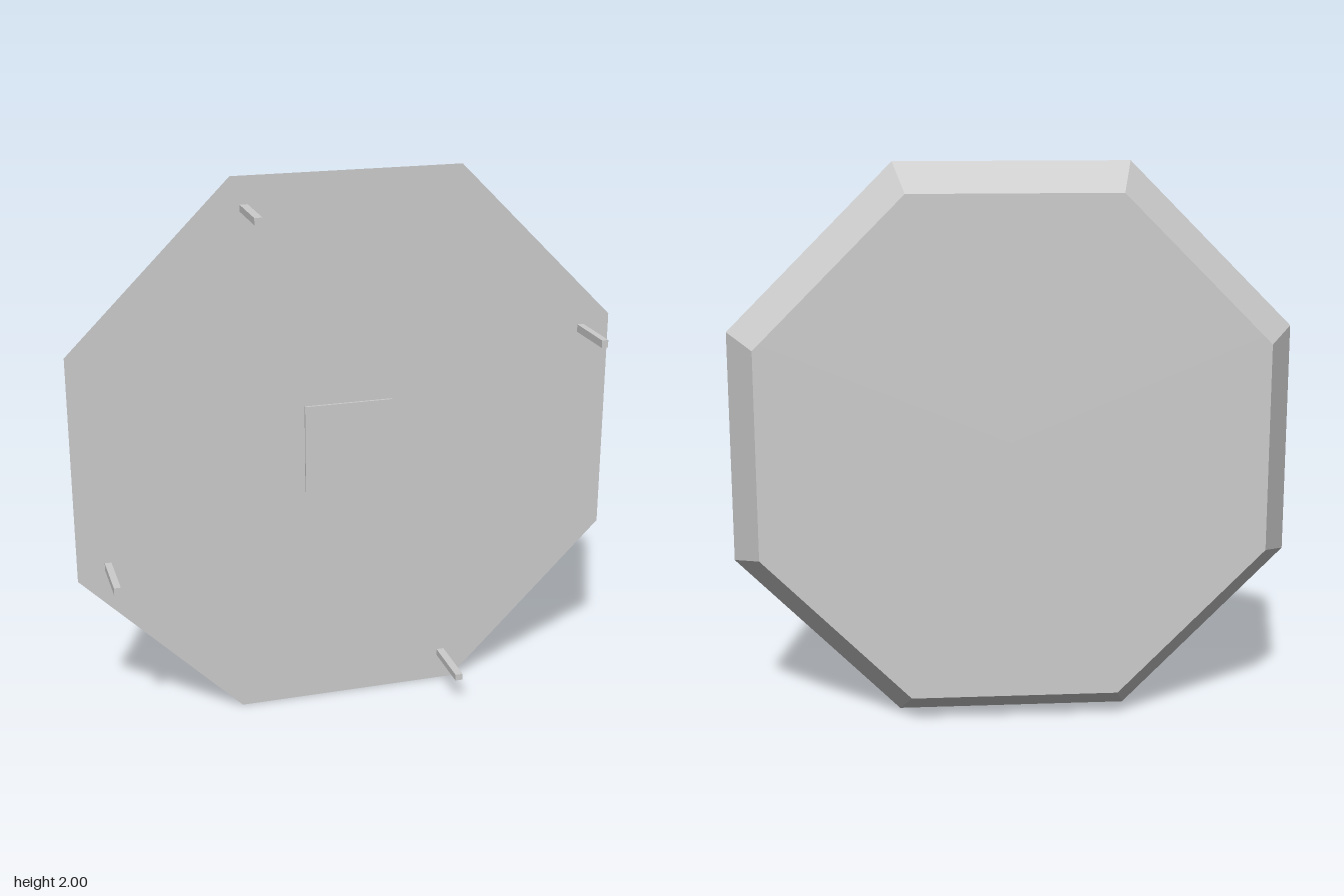
import * as THREE from 'three';

export function createModel() {
  const group = new THREE.Group();
  const grey = new THREE.MeshStandardMaterial({ color: 0xcccccc, flatShading: true, side: THREE.DoubleSide });
  grey.name = 'light grey';

  const FRONT = -0.027, BACK = -0.19, PIN_END = 0.19, CENTRE_Y = 1;

  const add = (name, geometry, x, y, z) => {
    const mesh = new THREE.Mesh(geometry, grey);
    mesh.name = name;
    mesh.position.set(x, y, z);
    group.add(mesh);
    return mesh;
  };

  // Hollow octagonal tray: a flat front plate and a tapering rim, open at the back
  const corner = 1 / Math.cos(Math.PI / 8);
  add('frontPlate', new THREE.CircleGeometry(corner, 8, Math.PI / 8), 0, CENTRE_Y, FRONT);
  const rim = new THREE.CylinderGeometry(corner, corner * 0.9, FRONT - BACK, 8, 1, true, Math.PI / 8);
  rim.rotateX(Math.PI / 2);
  add('taperedRim', rim, 0, CENTRE_Y, (FRONT + BACK) / 2);

  // Thin square pad in the middle of the front
  add('centrePad', new THREE.BoxGeometry(0.326, 0.326, 0.009), 0, CENTRE_Y, FRONT + 0.0045);

  // Four pins, each a quarter turn from the last
  const length = PIN_END - FRONT;
  const pin = new THREE.BoxGeometry(0.028, 0.024, length);
  let [x, y] = [-0.368, 0.89];
  for (let i = 0; i < 4; i++) {
    add(`pin${i + 1}`, pin, x, CENTRE_Y + y, FRONT + length / 2).rotation.z = -i * Math.PI / 2;
    [x, y] = [y, -x];
  }

  return group;
}
